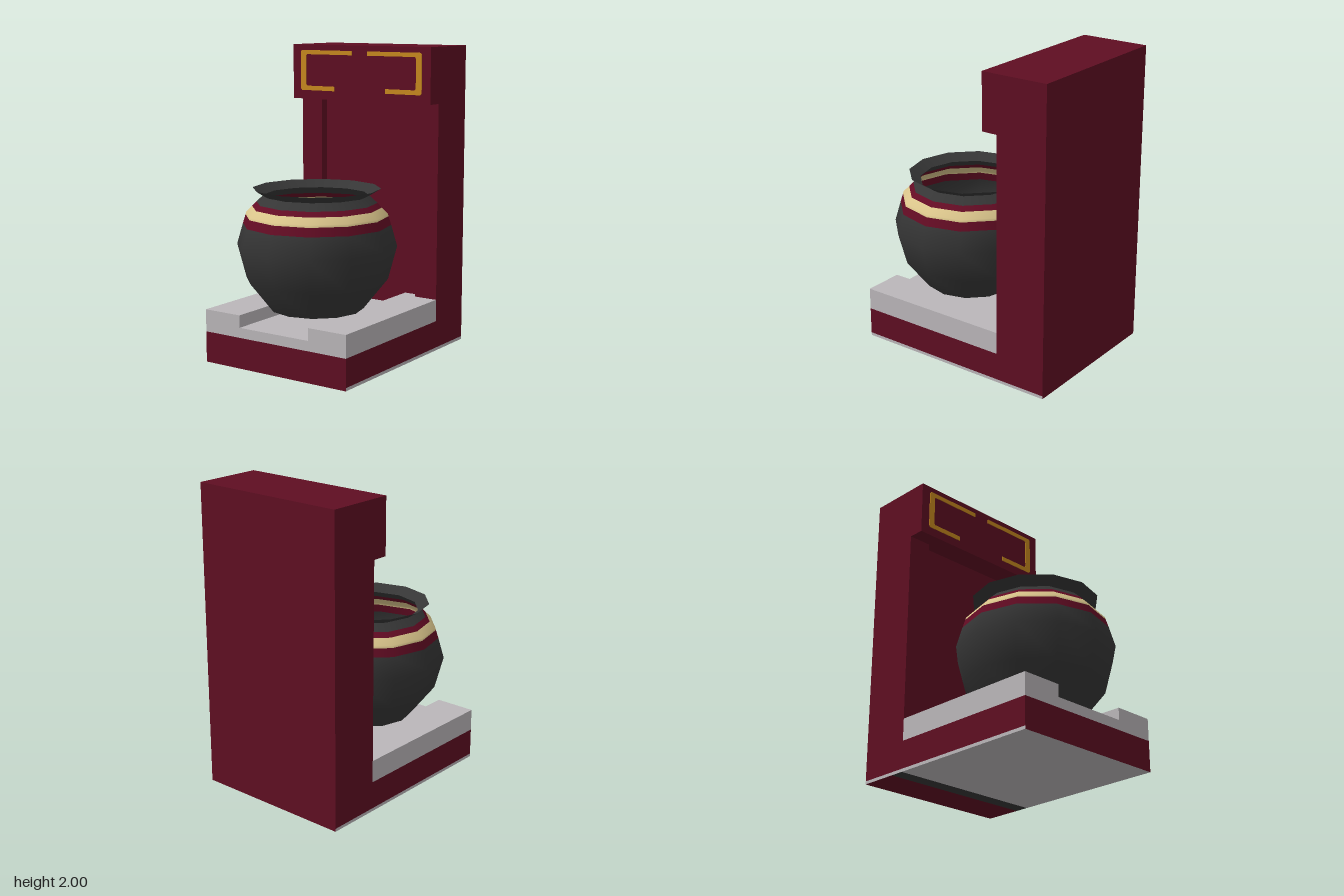
import * as THREE from 'three';

const mat = (name, color, side = THREE.FrontSide) => {
  const m = new THREE.MeshStandardMaterial({ color, side });
  m.name = name;
  return m;
};

export function createModel() {
  const model = new THREE.Group();
  const red = mat('maroon', 0x5f0e22);
  const grey = mat('stone grey', 0xbbb7ba);
  const gold = mat('gold', 0xc8891f);
  const dark = mat('charcoal', 0x363636, THREE.DoubleSide);
  const cream = mat('cream', 0xdac58b, THREE.DoubleSide);
  const bandRed = mat('maroon band', 0x640c24, THREE.DoubleSide);

  const add = (name, geo, material, parent = model) => {
    const mesh = new THREE.Mesh(geo, material);
    mesh.name = name;
    parent.add(mesh);
    return mesh;
  };
  // Box given by its limits on each axis
  const box = (name, material, x0, x1, y0, y1, z0, z1) =>
    add(name, new THREE.BoxGeometry(x1 - x0, y1 - y0, z1 - z0), material)
      .position.set((x0 + x1) / 2, (y0 + y1) / 2, (z0 + z1) / 2);
  const polygon = (pts) => new THREE.Shape(pts.map(([x, y]) => new THREE.Vector2(x, y)));

  const W = 0.54, BACK = -0.735, FRONT = 0.67, WALL = -0.385, PANEL = -0.445;

  // Cabinet: plinth, recessed back, two pillars and overhanging header
  box('plinth', red, -W, W, 0.02, 0.2, PANEL, FRONT);
  box('backPanel', red, -W, W, 0.02, 1.635, BACK, PANEL);
  for (const s of [-1, 1]) {
    const a = s * 0.38, b = s * W;
    box('pillar', red, Math.min(a, b), Math.max(a, b), 0.2, 1.635, PANEL, WALL);
  }
  box('header', red, -W, W, 1.635, 2, BACK, -0.28);

  // Underside layer: grey flanks, differently coloured bottom strips
  const strips = [[grey, WALL, FRONT], [dark, -0.48, WALL], [red, BACK, -0.48]];
  for (const [bottom, z0, z1] of strips) {
    box('undersideStrip', [grey, grey, red, bottom, red, red], -W, W, 0, 0.02, z0, z1);
  }

  // Grey tray with a shallow channel, running back into the recess
  const tray = (name, half, z0, z1) => {
    const shape = polygon([[-half, 0.2], [half, 0.2], [half, 0.345], [0.265, 0.345],
      [0.265, 0.265], [-0.265, 0.265], [-0.265, 0.345], [-half, 0.345]]);
    const geo = new THREE.ExtrudeGeometry(shape, { depth: z1 - z0, bevelEnabled: false });
    add(name, geo, grey).position.z = z0;
  };
  tray('tray', W, WALL, FRONT);
  tray('trayBack', 0.38, PANEL, WALL);

  // Gold brackets on the header, mirrored
  for (const s of [-1, 1]) {
    const pts = [[0.06, 1.963], [0.465, 1.963], [0.475, 1.953], [0.475, 1.703],
      [0.465, 1.693], [0.2, 1.693], [0.2, 1.723], [0.425, 1.723], [0.433, 1.735],
      [0.433, 1.924], [0.425, 1.935], [0.06, 1.935]].map(([x, y]) => [s * x, y]);
    const geo = new THREE.ExtrudeGeometry(polygon(pts), { depth: 0.005, bevelEnabled: false });
    add('headerBracket', geo, gold).position.z = -0.28;
  }

  // Twelve-sided pot, turned in coloured bands of [radius, height]
  const pot = new THREE.Group();
  pot.name = 'pot';
  pot.position.set(0.01, 0, 0.222);
  model.add(pot);
  const bands = [
    ['potBelly', dark, [[0.3, 0.345], [0.455, 0.54], [0.512, 0.755], [0.473, 0.89]]],
    ['lowerBand', bandRed, [[0.473, 0.89], [0.456, 0.945]]],
    ['creamBand', cream, [[0.456, 0.945], [0.452, 0.96], [0.413, 1.0]]],
    ['upperBand', bandRed, [[0.413, 1.0], [0.385, 1.03]]],
    ['potNeck', dark, [[0.385, 1.03], [0.335, 1.075]]],
    ['potRim', dark, [[0.335, 1.075], [0.408, 1.12]]],
  ];
  for (const [name, material, pts] of bands) {
    const profile = pts.map(([r, y]) => new THREE.Vector2(r, y));
    add(name, new THREE.LatheGeometry(profile, 12), material, pot);
  }
  const floor = add('potFloor', new THREE.CircleGeometry(0.3, 12), dark, pot);
  floor.rotation.x = -Math.PI / 2;
  floor.position.y = 0.346;

  return model;
}
